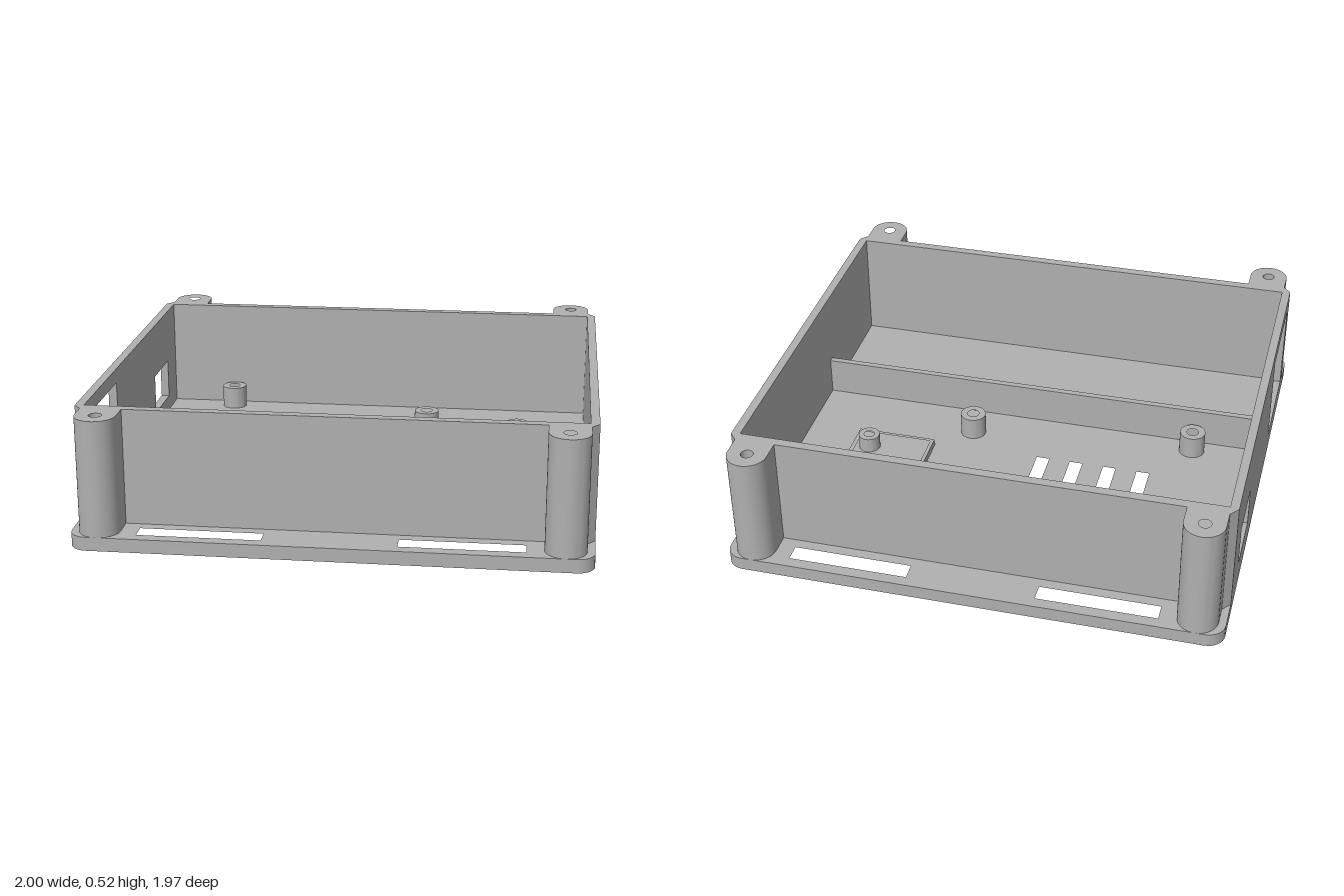
import * as THREE from 'three';
import { toCreasedNormals } from 'three/addons/utils/BufferGeometryUtils.js';

const H = 0.52;       // overall height
const FLOOR = 0.055;  // base plate thickness

export function createModel() {
  const model = new THREE.Group();
  model.name = 'enclosure';
  const grey = new THREE.MeshStandardMaterial({ color: 0xb0b0b0 });
  grey.name = 'grey plastic';

  const add = (name, geometry) => {
    const mesh = new THREE.Mesh(geometry, grey);
    mesh.name = name;
    model.add(mesh);
    return mesh;
  };

  // Outlines are lists of [x, z] pairs
  const rect = (x0, x1, z0, z1) => [[x0, z0], [x1, z0], [x1, z1], [x0, z1]];
  const arc = (cx, cz, r, a0, a1, n) => Array.from({ length: n + 1 }, (_, i) => {
    const a = a0 + (a1 - a0) * i / n;
    return [cx + r * Math.cos(a), cz + r * Math.sin(a)];
  });
  const circle = (cx, cz, r) => arc(cx, cz, r, 0, Math.PI * 2, 32).slice(0, -1);

  // Vertical prism with holes, from y0 to y1
  const prism = (outline, holes, y0, y1) => {
    const toPoints = (list) => list.map(([x, z]) => new THREE.Vector2(x, -z));
    const shape = new THREE.Shape(toPoints(outline));
    shape.holes = holes.map((h) => new THREE.Path(toPoints(h)));
    const g = new THREE.ExtrudeGeometry(shape, { depth: y1 - y0, bevelEnabled: false });
    g.rotateX(-Math.PI / 2).translate(0, y0, 0);
    return toCreasedNormals(g, 0.6);
  };
  const box = (x0, x1, y0, y1, z0, z1) =>
    new THREE.BoxGeometry(x1 - x0, y1 - y0, z1 - z0)
      .translate((x0 + x1) / 2, (y0 + y1) / 2, (z0 + z1) / 2);

  // Base plate with rounded corners, strap slots and vents
  const r = 0.07, px = 1 - r, pz = 0.987 - r, q = Math.PI / 2;
  const plate = [
    ...arc(px, pz, r, 0, q, 8), ...arc(-px, pz, r, q, 2 * q, 8),
    ...arc(-px, -pz, r, 2 * q, 3 * q, 8), ...arc(px, -pz, r, 3 * q, 4 * q, 8),
  ];
  const cuts = [];
  for (const x of [-0.743, 0.26]) {
    for (const z of [-0.94, 0.87]) cuts.push(rect(x, x + 0.483, z, z + 0.07));
  }
  for (let i = 0; i < 4; i++) {
    const x = -0.543 + i * 0.145;
    cuts.push(rect(x, x + 0.055, -0.508, -0.05));
  }
  add('basePlate', prism(plate, cuts, 0, FLOOR));

  // Plain walls
  add('frontWall', box(-0.81, 0.81, FLOOR, H, 0.787, 0.825));
  add('backWall', box(-0.81, 0.81, FLOOR, H, -0.825, -0.787));
  add('leftWall', box(0.965, 1, FLOOR, H, -0.795, 0.795));

  // Right wall with two connector windows
  const toPath = (pts, Type) => new Type(pts.map(([a, b]) => new THREE.Vector2(a, b)));
  const side = toPath(rect(-0.795, 0.795, FLOOR, H), THREE.Shape);
  side.holes.push(
    toPath(rect(-0.625, -0.365, 0.12, 0.29), THREE.Path),
    toPath(rect(0.3, 0.725, 0.09, 0.462), THREE.Path));
  const sideGeometry = new THREE.ExtrudeGeometry(side, { depth: 0.035, bevelEnabled: false });
  add('rightWall', sideGeometry.rotateY(-Math.PI / 2).translate(-0.965, 0, 0));

  // Corner screw posts, chamfered into the walls
  for (const sx of [-1, 1]) {
    for (const sz of [-1, 1]) {
      const outline = [
        [0.81, 0.787], [0.965, 0.787], [0.965, 0.795], [1, 0.795], [0.97, 0.83],
        ...arc(0.89, 0.907, 0.08, 0, Math.PI, 24),
      ].map(([x, z]) => [x * sx, z * sz]);
      const hole = circle(0.89 * sx, 0.907 * sz, 0.025);
      add('cornerPost', prism(outline, [hole], FLOOR, H));
    }
  }

  // Inner divider
  add('divider', box(-0.965, 0.965, FLOOR, 0.215, 0.222, 0.248));

  // Board standoffs: x, z, radius, hole radius, top
  const standoffs = [
    [-0.67, -0.725, 0.054, 0.025, 0.152], [-0.69, 0.157, 0.054, 0.025, 0.152],
    [0.26, -0.445, 0.054, 0.025, 0.152], [0.26, 0.066, 0.054, 0.025, 0.152],
    [0.668, -0.422, 0.045, 0.022, 0.12], [0.668, -0.145, 0.045, 0.022, 0.12],
  ];
  for (const [x, z, radius, hole, top] of standoffs) {
    add('standoff', prism(circle(x, z, radius), [circle(x, z, hole)], FLOOR, top));
  }

  // Low locating rim around the small pair of standoffs
  add('locatingRim', prism(rect(0.397, 0.733, -0.5, -0.072),
    [rect(0.412, 0.715, -0.478, -0.087)], FLOOR, 0.085));

  return model;
}
